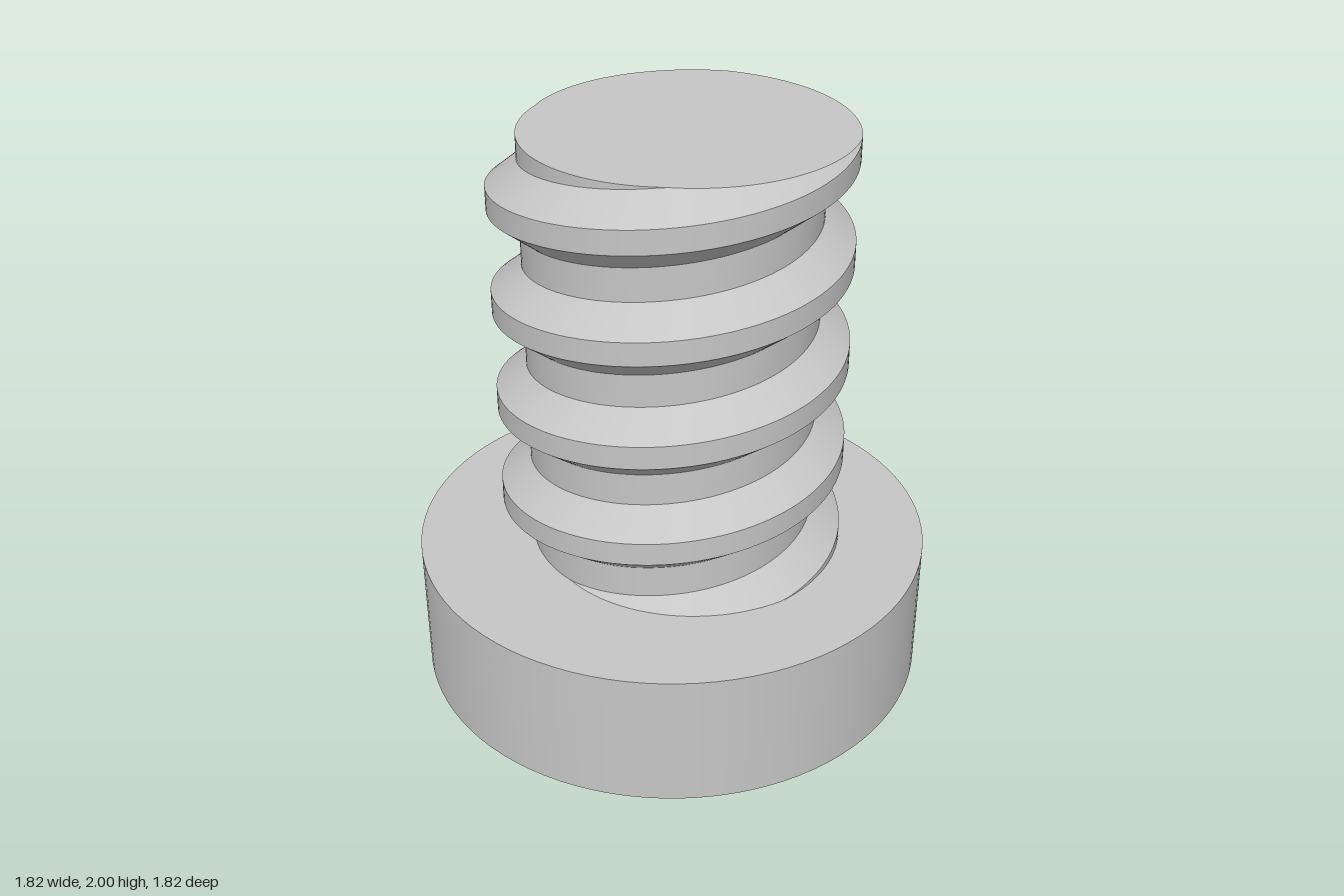
import * as THREE from 'three';

const HEAD_R = 0.908, HEAD_H = 0.487, TOP = 2;
const ROOT = 0.5, CREST = 0.605, PITCH = 0.3675, START = 0.852;
const STEPS = 120; // columns per turn
// thread profile over one pitch: [height from crest centre, radius]
const PROFILE = [[-0.126, ROOT], [-0.041, CREST], [0.041, CREST], [0.126, ROOT], [PITCH - 0.126, ROOT]];

const point = (turn, y, r) => {
  const a = turn * Math.PI * 2;
  return [r * Math.cos(a), y, -r * Math.sin(a)];
};

// radius of the thread at a given height and turn
function radiusAt(turn, y) {
  let d = (y - START - PITCH * turn + 0.126) % PITCH;
  if (d < 0) d += PITCH;
  d -= 0.126;
  for (let i = 0; i < 4; i++) {
    const [y0, r0] = PROFILE[i], [y1, r1] = PROFILE[i + 1];
    if (d <= y1) return r0 + (r1 - r0) * (d - y0) / (y1 - y0);
  }
  return ROOT;
}

// one helical band of the thread, cut flat at the head and at the tip
function helixBand([dy0, r0], [dy1, r1]) {
  const pos = [], index = [], spans = [];
  const first = -2 * STEPS, last = 5 * STEPS;
  for (let i = first; i <= last; i++) {
    const turn = i / STEPS, h = START + PITCH * turn;
    const ends = [h + dy0, h + dy1].map(y => THREE.MathUtils.clamp(y, HEAD_H, TOP));
    for (const y of ends) {
      const k = THREE.MathUtils.clamp((y - h - dy0) / (dy1 - dy0), 0, 1);
      pos.push(...point(turn, y, r0 + (r1 - r0) * k));
    }
    spans.push(ends[1] - ends[0]);
  }
  for (let c = 0; c < spans.length - 1; c++) {
    const b = c * 2;
    if (spans[c + 1] > 1e-6) index.push(b, b + 2, b + 3);
    if (spans[c] > 1e-6) index.push(b, b + 3, b + 1);
  }
  const g = new THREE.BufferGeometry();
  g.setAttribute('position', new THREE.Float32BufferAttribute(pos, 3));
  g.setIndex(index);
  g.computeVertexNormals();
  return g;
}

export function createModel() {
  const model = new THREE.Group();
  const steel = new THREE.MeshStandardMaterial({ color: 0xc6c6c6 });
  steel.name = 'steel grey';
  const add = (name, geometry, parent = model) => {
    const mesh = new THREE.Mesh(geometry, steel);
    mesh.name = name;
    parent.add(mesh);
    return mesh;
  };

  // head: wall, shoulder and slotted underside
  const head = new THREE.Group();
  head.name = 'head';
  model.add(head);
  add('headWall', new THREE.CylinderGeometry(HEAD_R, HEAD_R, HEAD_H, 96, 1, true), head).position.y = HEAD_H / 2;
  add('headShoulder', new THREE.RingGeometry(0.49, HEAD_R, 96).rotateX(-Math.PI / 2), head).position.y = HEAD_H;

  const L = 1.28, W = 0.255, DEPTH = 0.24, SLOT_TURN = -0.09;
  const disc = new THREE.Shape().absarc(0, 0, HEAD_R, 0, Math.PI * 2);
  const corners = [[-1, -1], [-1, 1], [1, 1], [1, -1]].map(([x, y]) => new THREE.Vector2(x * L / 2, y * W / 2));
  disc.holes.push(new THREE.Path(corners));
  const underside = add('headUnderside', new THREE.ShapeGeometry(disc, 96).rotateX(Math.PI / 2), head);
  underside.rotation.y = SLOT_TURN;

  // driver slot: a box turned inside out, without its open lower face
  const slot = new THREE.BoxGeometry(L, DEPTH, W);
  const faces = Array.from(slot.index.array);
  faces.splice(18, 6);
  slot.setIndex(faces.reverse());
  slot.clearGroups();
  slot.computeVertexNormals();
  const slotMesh = add('driverSlot', slot, head);
  slotMesh.position.y = DEPTH / 2;
  slotMesh.rotation.y = SLOT_TURN;

  // threaded shank
  const shank = new THREE.Group();
  shank.name = 'threadedShank';
  model.add(shank);
  ['threadLowerFlank', 'threadCrest', 'threadUpperFlank', 'threadRoot'].forEach((name, i) =>
    add(name, helixBand(PROFILE[i], PROFILE[i + 1]), shank));

  // flat tip following the cut thread
  const outline = [];
  for (let i = 0; i < STEPS; i++) {
    const [x, , z] = point(i / STEPS, TOP, radiusAt(i / STEPS, TOP));
    outline.push(new THREE.Vector2(x, -z));
  }
  add('tip', new THREE.ShapeGeometry(new THREE.Shape(outline)).rotateX(-Math.PI / 2), shank).position.y = TOP;

  return model;
}
